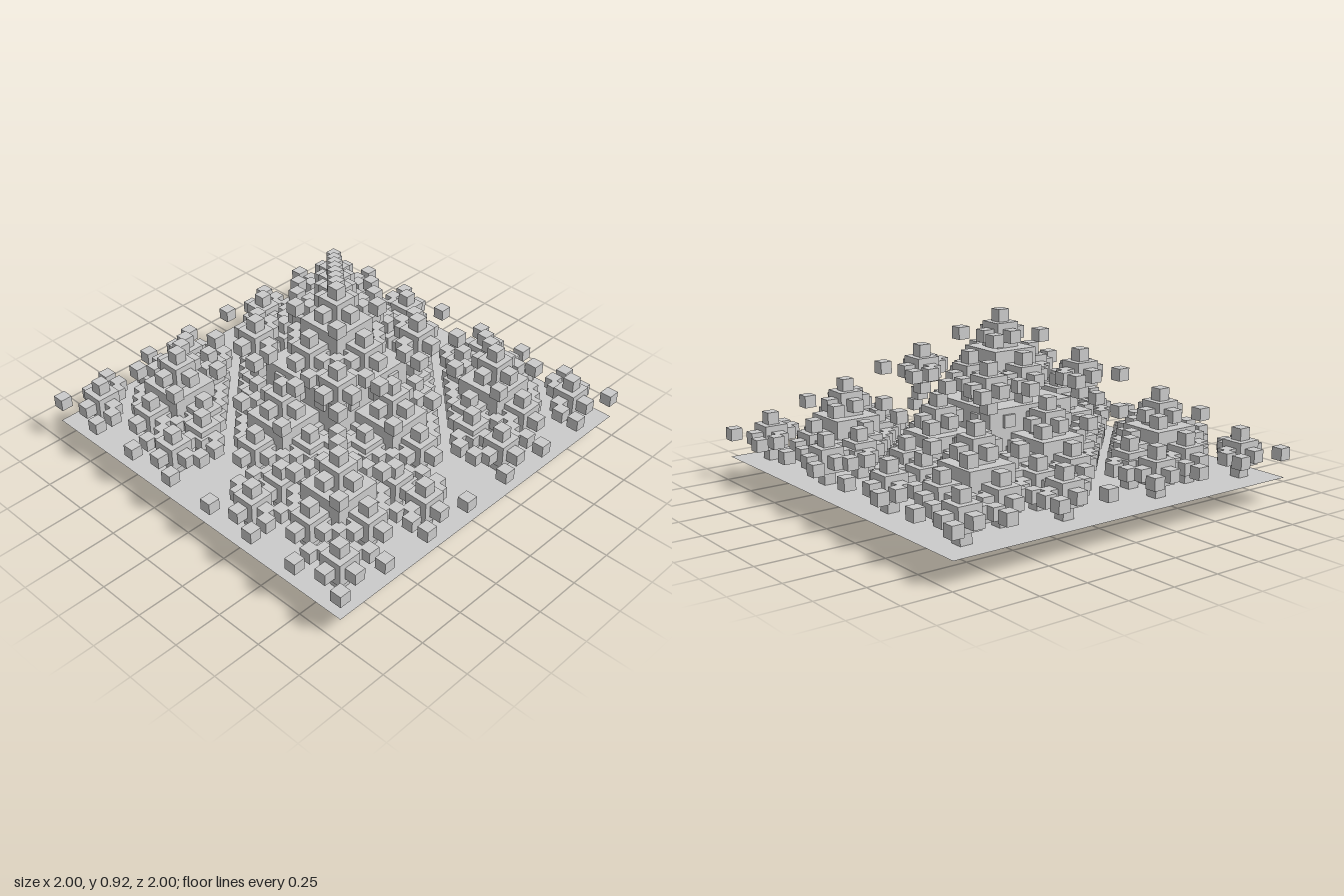
import * as THREE from 'three';
import { mergeGeometries } from 'three/addons/utils/BufferGeometryUtils.js';

const CORE = 1 / 2.03125; // edge of the central cube
const LEVELS = 4;
const NAMES = ['coreCube', 'largeCubes', 'mediumCubes', 'smallCubes'];

// Six face neighbours touch their parent; four diagonal ones float at the same height
const FACE = 0.75, DIAGONAL = 1.125;
const STEPS = [];
for (const s of [-1, 1]) {
  STEPS.push([s * FACE, 0, 0], [0, s * FACE, 0], [0, 0, s * FACE]);
  for (const t of [-1, 1]) STEPS.push([s * DIAGONAL, 0, t * DIAGONAL]);
}

// Collect cube centres per level, halving the size each time
function grow(levels, seen, centre, size, level, from) {
  const key = level + ':' + centre.map((v) => Math.round(v * 1000)).join();
  if (!seen.has(key)) {
    seen.add(key);
    levels[level].push(centre);
  }
  if (level + 1 === LEVELS) return;
  for (const step of STEPS) {
    // a face child pointing back at its parent would be buried inside it
    const isFace = step.filter((v) => v !== 0).length === 1;
    if (isFace && from && step.every((v, i) => v + from[i] === 0)) continue;
    const next = centre.map((v, i) => v + step[i] * size);
    if (next[1] < 0) continue; // nothing grows below the base
    grow(levels, seen, next, size / 2, level + 1, step);
  }
}

export function createModel() {
  const model = new THREE.Group();
  model.name = 'fractalCubes';
  const material = new THREE.MeshStandardMaterial({ color: 0xcccccc, flatShading: true });

  // Cubes, one mesh per size
  const levels = Array.from({ length: LEVELS }, () => []);
  grow(levels, new Set(), [0, CORE / 2, 0], CORE, 0, null);
  levels.forEach((centres, level) => {
    const size = CORE / 2 ** level;
    const boxes = centres.map((c) => new THREE.BoxGeometry(size, size, size).translate(...c));
    const mesh = new THREE.Mesh(mergeGeometries(boxes), material);
    mesh.name = NAMES[level];
    model.add(mesh);
  });

  // Thin ground sheet, level with the undersides of the large cubes
  const sheetMaterial = material.clone();
  sheetMaterial.side = THREE.DoubleSide;
  const sheet = new THREE.Mesh(
    new THREE.PlaneGeometry(4 * CORE, 4 * CORE).rotateX(-Math.PI / 2),
    sheetMaterial
  );
  sheet.position.y = CORE / 4;
  sheet.name = 'groundSheet';
  model.add(sheet);

  return model;
}
